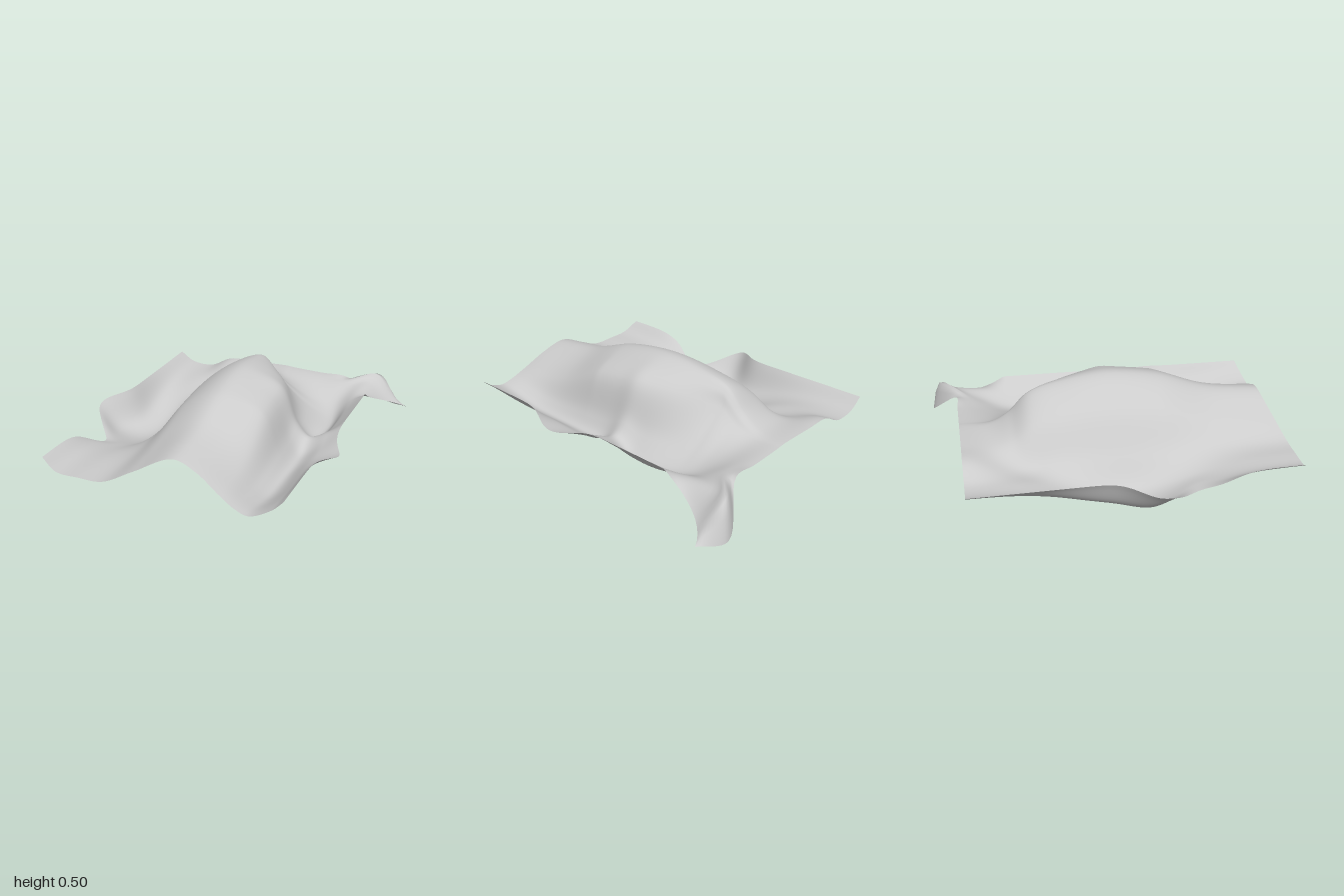
import * as THREE from 'three';

const { lerp, clamp } = THREE.MathUtils;
const point = (x, y, z) => new THREE.Vector3(x, y, z);
const bump = (z, center, width) => Math.exp(-(((z - center) / width) ** 2));

// Height of the central hump along its length, back to front
const crest = new THREE.CatmullRomCurve3([
  point(0, 0.225, -0.85), point(0, 0.235, -0.68), point(0, 0.3, -0.57), point(0, 0.42, -0.45),
  point(0, 0.475, -0.25), point(0, 0.5, 0), point(0, 0.46, 0.3), point(0, 0.36, 0.6), point(0, 0.32, 0.95),
]);

// One cross-section of the cloth, from the right-hand hem (-x) to the left (+x)
function section(top, z) {
  const front = clamp((z - 0.3) / 0.65, 0, 1);

  // Outer hems wave in and out
  const hemA = point(-0.72 - 0.11 * bump(z, 0.11, 0.13) + 0.06 * bump(z, 0.39, 0.1), 0.23 - 0.14 * bump(z, 0.35, 0.2), z);
  const hemB = point(0.615 - 0.025 * z + 0.075 * bump(z, 0.28, 0.14), 0.215 - 0.05 * bump(z, 0.22, 0.16), z);

  // Valleys on both sides of the hump
  const valleyA = 0.165 - 0.15 * bump(z, 0.03, 0.42);
  const valleyB = 0.07 + 0.06 * bump(z, 0, 0.08) + 0.06 * bump(z, 0.95, 0.2) + 0.13 * bump(z, -0.85, 0.25);
  const valleyX = 0.43 + 0.04 * bump(z, -0.3, 0.2);
  const foot = 0.165 + 0.06 * bump(z, -0.85, 0.17) - 0.025 * bump(z, -0.5, 0.15);

  // The steep shoulder runs diagonally toward the middle at the back
  const shoulderX = 0.27 - 0.19 * clamp(-z / 0.45, 0, 1) ** 1.5;

  // One back corner is pulled out and folds down over a raised crease
  const pull = clamp((-0.55 - z) / 0.3, 0, 1);
  const bank = point(0.54, lerp(valleyB, hemB.y, 0.5), z);
  bank.lerp(point(0.67, 0.16, -1), pull ** 2);
  bank.y = lerp(bank.y + 0.07 * bump(z, -0.81, 0.04), 0.01, pull ** 12);
  hemB.y = lerp(hemB.y, 0.02, pull);
  hemB.lerp(point(0.82, hemB.y, -0.92), pull ** 2.5);

  const points = [
    hemA,
    point(lerp(hemA.x, -0.5, 0.4), lerp(valleyA, hemA.y, 0.15), z),
    point(-0.5, valleyA, z),
    point(-0.36, foot, z),
    point(-0.2, lerp(foot, top, lerp(0.65, 0.45, front)), z),
    point(0, top, z),
    point(shoulderX * 0.5, lerp(valleyB, top, lerp(0.93, 0.78, front)), z),
    point(shoulderX, lerp(valleyB, top, lerp(0.74, 0.35, front)), z),
    point(shoulderX * 0.4 + 0.25, lerp(valleyB, top, lerp(0.2, 0.1, front)), z),
    point(valleyX, valleyB, z),
    bank,
    hemB,
  ];
  // Front hem reaches forward where it lies low
  const reach = clamp((z - 0.75) / 0.2, 0, 1);
  for (const p of points) p.z += reach * 0.45 * (0.22 - p.y);
  return new THREE.CatmullRomCurve3(points);
}

// Smooth sheet through all cross-sections
function clothGeometry(across, along) {
  const geometry = new THREE.PlaneGeometry(1, 1, across, along);
  const position = geometry.attributes.position;
  for (let j = 0; j <= along; j++) {
    const { y, z } = crest.getPointAt(j / along);
    const curve = section(y, z);
    for (let i = 0; i <= across; i++) {
      const p = curve.getPoint(i / across);
      position.setXYZ(j * (across + 1) + i, p.x, Math.max(0, p.y), p.z);
    }
  }
  geometry.computeVertexNormals();
  return geometry;
}

export function createModel() {
  const group = new THREE.Group();
  group.name = 'drapedCloth';
  const material = new THREE.MeshStandardMaterial({ color: 0xcccccc, side: THREE.DoubleSide });
  const cloth = new THREE.Mesh(clothGeometry(88, 90), material);
  cloth.name = 'clothSheet';
  group.add(cloth);
  return group;
}
